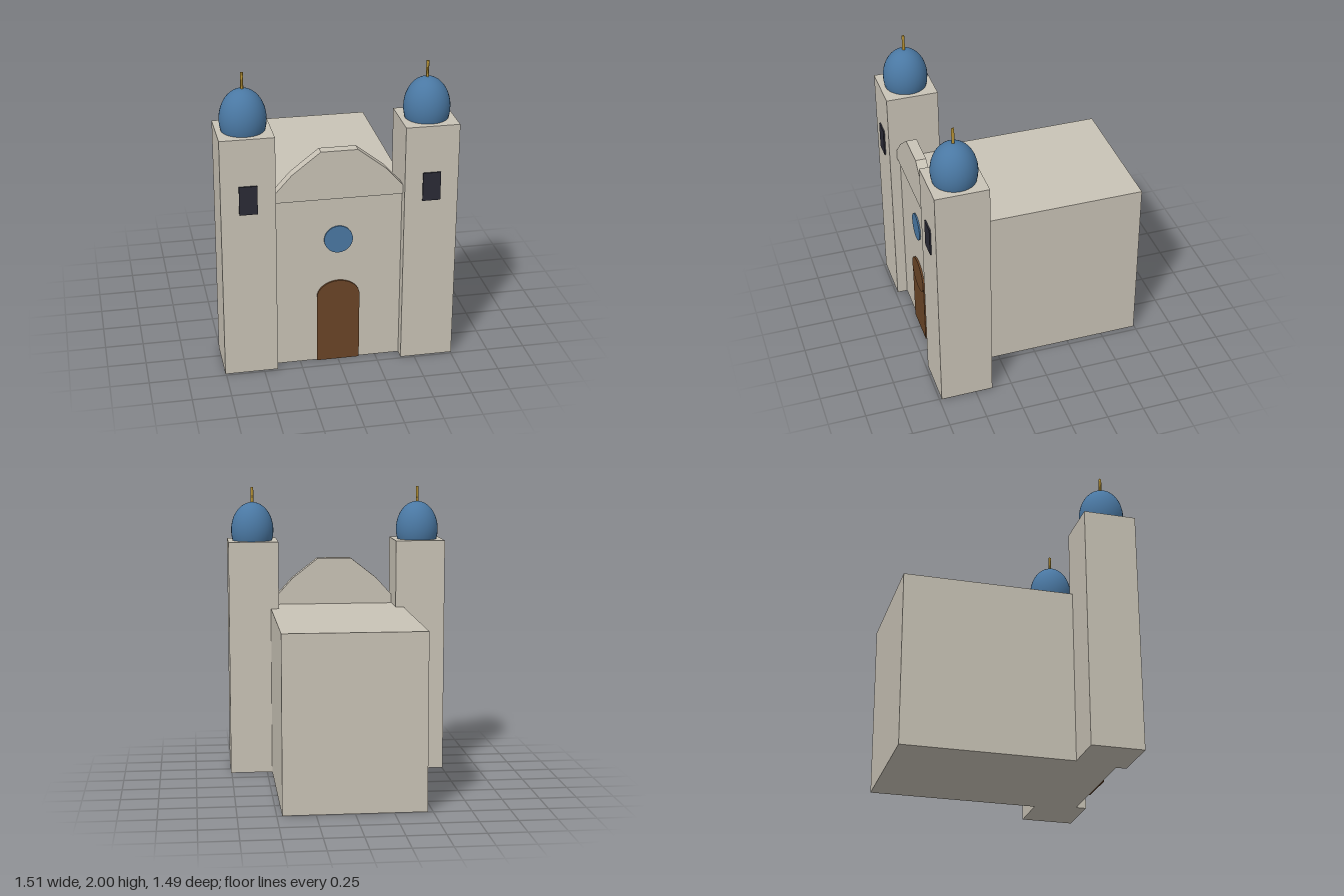
import * as THREE from 'three';

const material = (name, color) => {
  const m = new THREE.MeshStandardMaterial({ color });
  m.name = name;
  return m;
};

export function createModel() {
  const stone = material('stone', 0xc9c3b6);
  const blue = material('blue', 0x4a78a3);
  const wood = material('wood', 0x6b4527);
  const dark = material('dark', 0x2a2a35);
  const gold = material('gold', 0xc9a13b);

  const model = new THREE.Group();
  model.name = 'twinTowerChurch';

  const add = (parent, name, geometry, mat, x, y, z) => {
    const mesh = new THREE.Mesh(geometry, mat);
    mesh.name = name;
    mesh.position.set(x, y, z);
    parent.add(mesh);
    return mesh;
  };
  const box = (w, h, d) => new THREE.BoxGeometry(w, h, d);
  // Disc facing the front
  const disc = (r, d) => new THREE.CylinderGeometry(r, r, d, 32).rotateX(Math.PI / 2);

  // Long hall between the towers
  add(model, 'nave', box(0.93, 1.165, 1.41), stone, 0, 0.5825, -0.04);

  // Stepped gable standing on the front wall
  const half = [[0.465, 1.165], [0.3, 1.348], [0.118, 1.49]];
  const outline = [...half, ...half.map(([x, y]) => [-x, y]).reverse()];
  const gable = new THREE.Shape(outline.map(([x, y]) => new THREE.Vector2(x, y)));
  add(model, 'gable', new THREE.ExtrudeGeometry(gable, { depth: 0.07, bevelEnabled: false }),
    stone, 0, 0, 0.615);

  // Door with a rounded head, and the round window above it
  add(model, 'door', box(0.28, 0.47, 0.009), wood, 0, 0.235, 0.6715);
  add(model, 'doorArch', disc(0.14, 0.012).scale(1, 0.79, 1), wood, 0, 0.47, 0.673);
  add(model, 'roundWindow', disc(0.093, 0.009), blue, 0, 0.875, 0.6715);

  // Mirrored towers with dome, finial and belfry window
  for (const side of [1, -1]) {
    const tower = new THREE.Group();
    tower.name = side > 0 ? 'leftTower' : 'rightTower';
    tower.position.set(side * 0.5825, 0, 0.56);
    add(tower, 'shaft', box(0.345, 1.63, 0.35), stone, 0, 0.815, 0);
    const dome = new THREE.SphereGeometry(0.148, 32, 20, 0, Math.PI * 2, 0, Math.PI * 0.65);
    add(tower, 'dome', dome.scale(1, 1.32, 1), blue, 0, 1.7, 0);
    add(tower, 'finial', new THREE.CylinderGeometry(0.011, 0.011, 0.13, 3), gold, 0, 1.935, 0);
    add(tower, 'belfryWindow', box(0.115, 0.19, 0.0095), dark, 0, 1.225, 0.18);
    model.add(tower);
  }

  return model;
}
